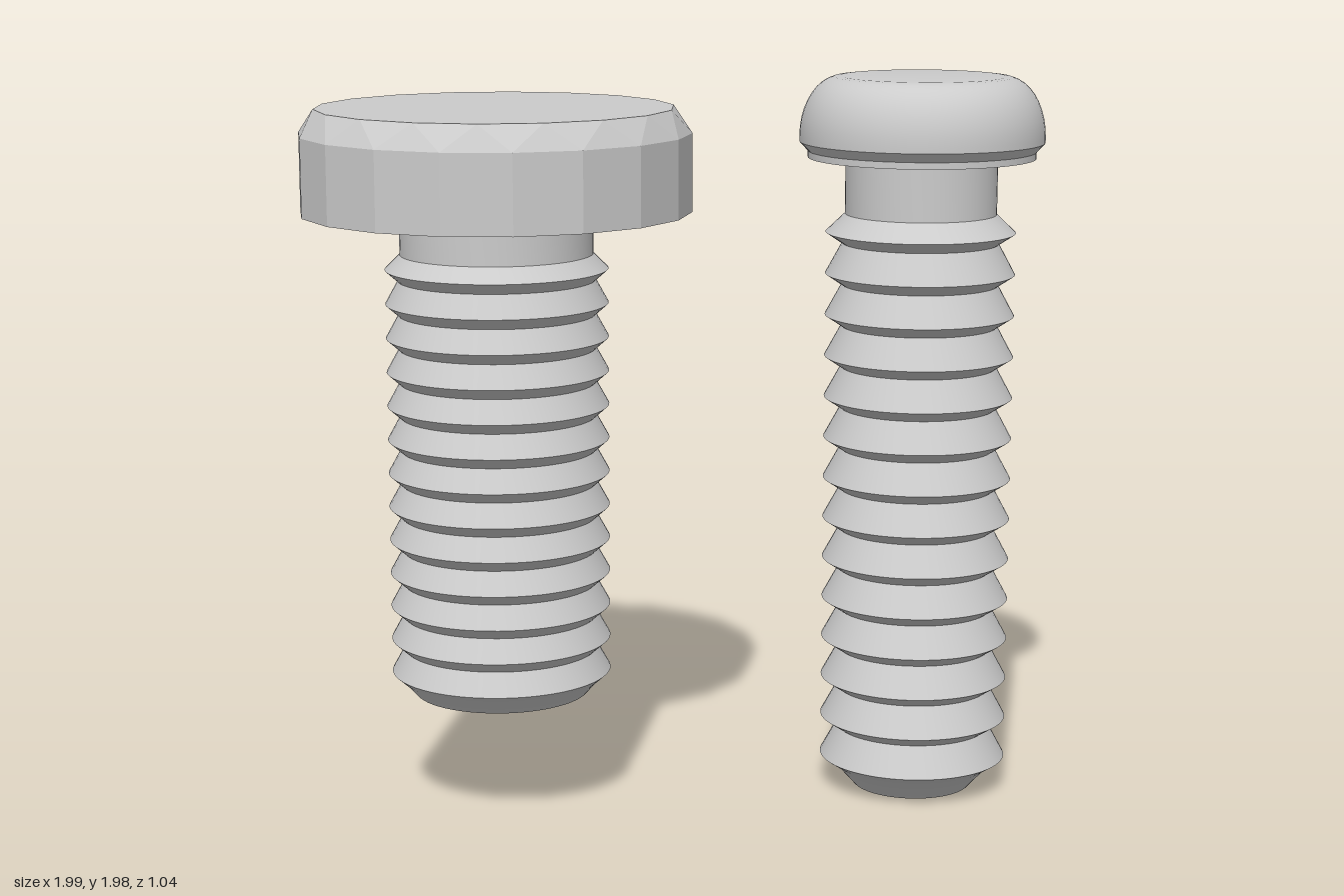
import * as THREE from 'three';
import { toCreasedNormals } from 'three/addons/utils/BufferGeometryUtils.js';

const material = new THREE.MeshStandardMaterial({ color: 0xcccccc });

// Turned part with crisp edges; the profile runs from bottom to top as [radius, y]
function turned(name, profile) {
  const points = profile.map(([r, y]) => new THREE.Vector2(r, y));
  const mesh = new THREE.Mesh(toCreasedNormals(new THREE.LatheGeometry(points, 64), 0.45), material);
  mesh.name = name;
  return mesh;
}

// Shank: chamfered tip, stacked thread ridges, plain neck
function shank(name, { bottom, tip, root, crest, first, last, count, neck, neckStart, top }) {
  const profile = [[0, bottom], [tip, bottom]];
  const pitch = (last - first) / (count - 1);
  for (let i = 0; i < count; i++) {
    const y = first + i * pitch;
    profile.push([root, y - 0.03], [crest, y]);
  }
  profile.push([neck, neckStart], [neck, top]);
  return turned(name, profile);
}

// Faceted head: straight sides, then triangular chamfers up to a half-step-rotated rim
function facetedHead(sides, radius, rim, bottom, shoulder, top) {
  const ring = (r, y, shift) => Array.from({ length: sides }, (_, i) => {
    const a = ((i + shift) / sides) * Math.PI * 2;
    return [r * Math.sin(a), y, r * Math.cos(a)];
  });
  const low = ring(radius, bottom, 0);
  const mid = ring(radius, shoulder, 0);
  const high = ring(rim, top, 0.5);
  const positions = [];
  const tri = (...corners) => positions.push(...corners.flat());
  for (let i = 0; i < sides; i++) {
    const j = (i + 1) % sides;
    tri(low[i], low[j], mid[j]);
    tri(low[i], mid[j], mid[i]);
    tri(mid[i], mid[j], high[i]);
    tri(mid[j], high[j], high[i]);
    tri([0, top, 0], high[i], high[j]);
    tri([0, bottom, 0], low[j], low[i]);
  }
  const geometry = new THREE.BufferGeometry();
  geometry.setAttribute('position', new THREE.Float32BufferAttribute(positions, 3));
  geometry.computeVertexNormals();
  const mesh = new THREE.Mesh(geometry, material);
  mesh.name = 'facetedHead';
  return mesh;
}

// Domed head: stepped underside and an elliptical shoulder to a flat top
function domedHead() {
  const profile = [[0, 1.757], [0.307, 1.757], [0.307, 1.775], [0.33, 1.8]];
  for (let i = 0; i <= 10; i++) {
    const a = (i / 10) * Math.PI / 2;
    profile.push([0.222 + 0.108 * Math.cos(a), 1.815 + 0.16 * Math.sin(a)]);
  }
  profile.push([0, 1.975]);
  return turned('domedHead', profile);
}

export function createModel() {
  const model = new THREE.Group();
  model.name = 'screwPair';

  const wide = new THREE.Group();
  wide.name = 'wideScrew';
  wide.position.x = -0.48;
  wide.add(
    shank('wideShank', {
      bottom: 0.32, tip: 0.237, root: 0.263, crest: 0.297,
      first: 0.38, last: 1.48, count: 13, neck: 0.257, neckStart: 1.52, top: 1.64,
    }),
    facetedHead(18, 0.52, 0.475, 1.632, 1.84, 1.907),
  );

  const slim = new THREE.Group();
  slim.name = 'slimScrew';
  slim.position.x = 0.67;
  slim.add(
    shank('slimShank', {
      bottom: 0, tip: 0.163, root: 0.212, crest: 0.257,
      first: 0.085, last: 1.555, count: 14, neck: 0.205, neckStart: 1.605, top: 1.765,
    }),
    domedHead(),
  );

  model.add(wide, slim);
  return model;
}
